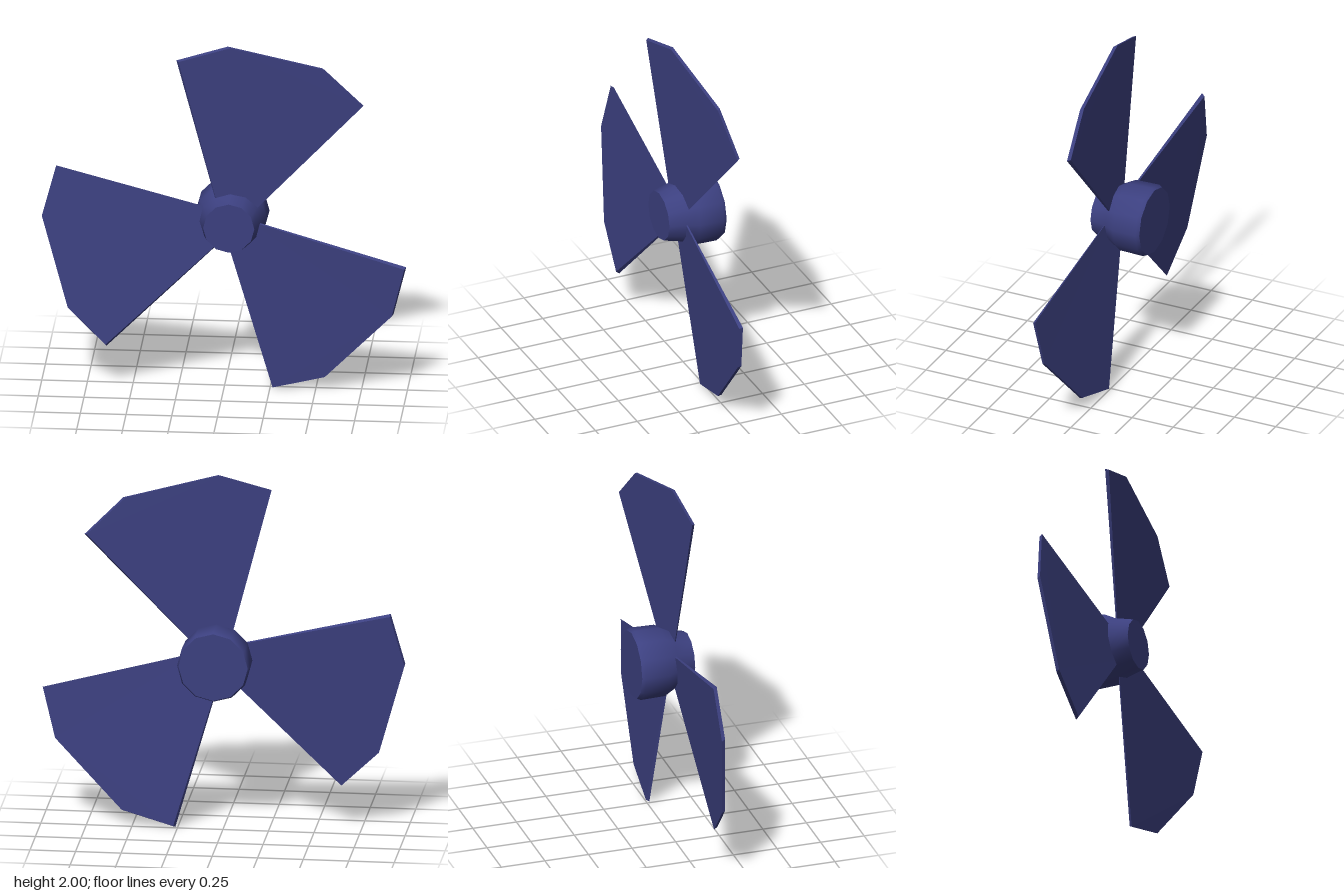
import * as THREE from 'three';
import { toCreasedNormals } from 'three/addons/utils/BufferGeometryUtils.js';

const paint = new THREE.MeshStandardMaterial({ color: 0x3c4080 });

// Blade outline around the hub axis, counter-clockwise
const outline = [[-0.065, 0.08], [0.08, 0.016], [0.72, 0.685], [0.51, 0.895], [-0.005, 1.025], [-0.285, 0.945]];
const span = THREE.MathUtils.degToRad(75); // direction of the blade's midline
const pitch = 0.09;

function bladeGeometry() {
  const shape = new THREE.Shape(outline.map(([x, y]) => new THREE.Vector2(x, y)));
  const geo = new THREE.ExtrudeGeometry(shape, { depth: 1, bevelEnabled: false });
  const pos = geo.attributes.position;
  // Pitch the slab, thin it toward the root and slant its edges
  for (let i = 0; i < pos.count; i++) {
    const x = pos.getX(i), y = pos.getY(i), side = pos.getZ(i) - 0.5;
    const across = x * Math.sin(span) - y * Math.cos(span);
    const thick = 0.004 + 0.013 * Math.min(1, Math.hypot(x, y));
    const slant = side * thick * 0.8;
    pos.setXYZ(i, x + slant * Math.sin(span), y - slant * Math.cos(span), 0.055 - pitch * across + side * thick);
  }
  geo.computeVertexNormals();
  return geo;
}

// Hub: tapered nose, barrel and chamfered back, as [radius, z]
function hubGeometry() {
  const profile = [[0, -0.16], [0.19, -0.16], [0.2, -0.14], [0.197, 0], [0.165, 0.06], [0.14, 0.16], [0, 0.16]];
  const geo = new THREE.LatheGeometry(profile.map(([r, z]) => new THREE.Vector2(r, z)), 12);
  geo.rotateX(Math.PI / 2);
  return toCreasedNormals(geo, 0.7);
}

export function createModel() {
  const model = new THREE.Group();
  model.name = 'propeller';

  const hub = new THREE.Mesh(hubGeometry(), paint);
  hub.name = 'hub';
  model.add(hub);

  const geo = bladeGeometry();
  for (let i = 0; i < 3; i++) {
    const blade = new THREE.Mesh(geo, paint);
    blade.name = 'blade' + (i + 1);
    blade.rotation.z = (i * Math.PI * 2) / 3;
    model.add(blade);
  }

  model.position.set(0.035, 0.975, 0);
  const root = new THREE.Group();
  root.add(model);
  return root;
}
